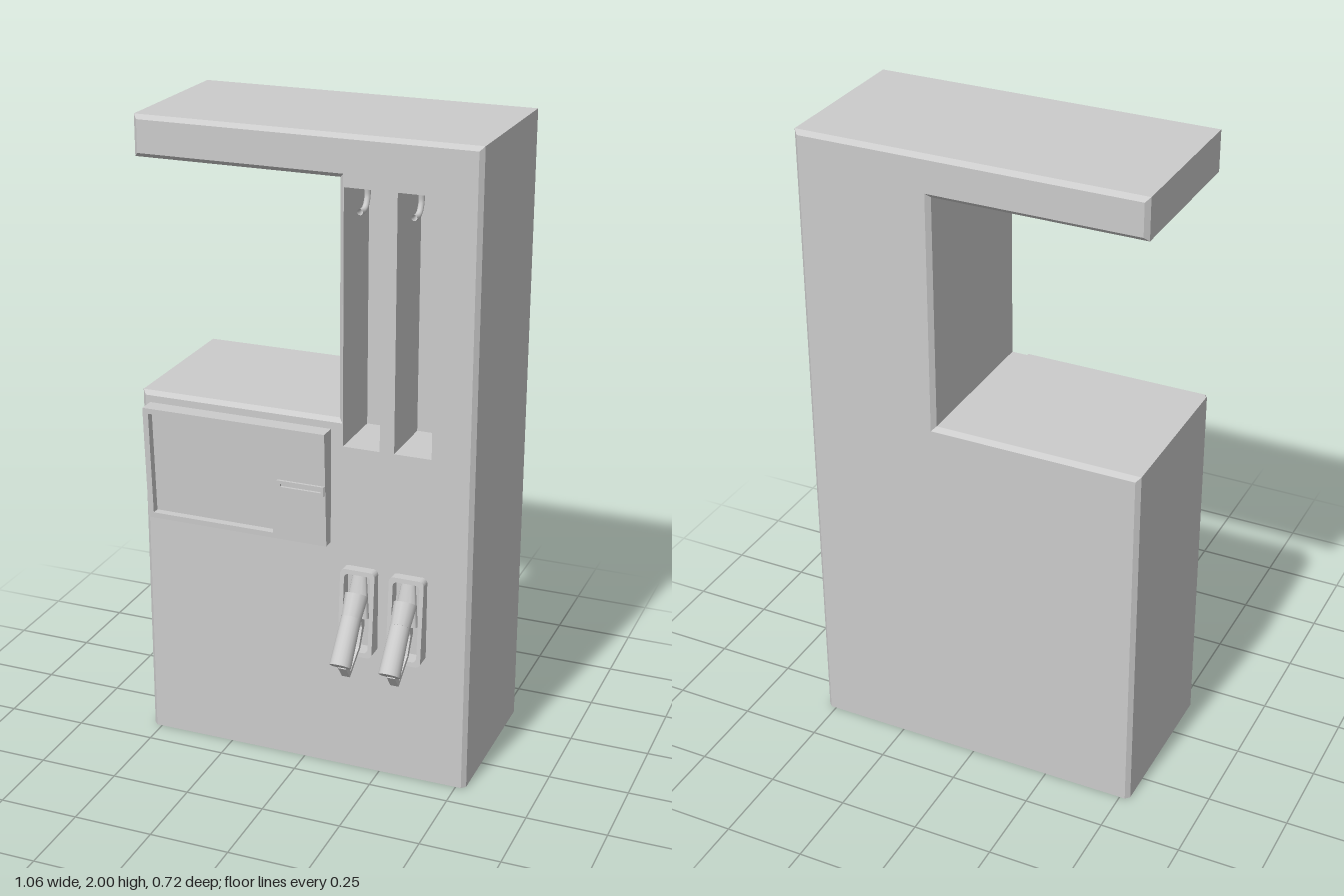
import * as THREE from 'three';

const mat = new THREE.MeshStandardMaterial({ color: 0xcccccc, side: THREE.DoubleSide });
const FRONT = 0.165, BACK = -0.36, BEVEL = 0.013;

function add(parent, name, geometry) {
  const mesh = new THREE.Mesh(geometry, mat);
  mesh.name = name;
  parent.add(mesh);
  return mesh;
}

const poly = (pts) => pts.map(([x, y]) => new THREE.Vector2(x, y));
const rect = (x0, y0, x1, y1) => poly([[x0, y0], [x1, y0], [x1, y1], [x0, y1]]);

function roundedRect(x0, y0, x1, y1, r) {
  const s = new THREE.Shape();
  s.absarc(x1 - r, y1 - r, r, 0, Math.PI / 2);
  s.absarc(x0 + r, y1 - r, r, Math.PI / 2, Math.PI);
  s.absarc(x0 + r, y0 + r, r, Math.PI, Math.PI * 1.5);
  s.absarc(x1 - r, y0 + r, r, Math.PI * 1.5, Math.PI * 2);
  return s.getPoints(4).slice(0, -1);
}

// Flat ring (outline with holes) extruded between two depth rules z(y)
function slab(outer, holes, zBack, zFront) {
  const shape = new THREE.Shape(outer);
  holes.forEach((h) => shape.holes.push(new THREE.Path(h)));
  const g = new THREE.ExtrudeGeometry(shape, { depth: 1, bevelEnabled: false });
  const p = g.attributes.position;
  for (let i = 0; i < p.count; i++) p.setZ(i, (p.getZ(i) > 0.5 ? zFront : zBack)(p.getY(i)));
  g.computeVertexNormals();
  return g;
}

// C-shaped cabinet outline, inset by b
const outline = (b) => poly([
  [-0.53 + b, b], [0.53 - b, b], [0.53 - b, 2 - b], [-0.53 + b, 2 - b],
  [-0.53 + b, 1.875 + b], [0.11 + b, 1.875 + b], [0.11 + b, 1.155 - b], [-0.53 + b, 1.155 - b],
]);

// Bevelled cabinet shell, open underneath and at the front
function shellGeometry() {
  const g = new THREE.ExtrudeGeometry(new THREE.Shape(outline(BEVEL)), {
    depth: FRONT - BACK - 2 * BEVEL, bevelSize: BEVEL, bevelThickness: BEVEL, bevelSegments: 1,
  });
  g.translate(0, 0, BACK + BEVEL);
  const p = g.attributes.position, kept = [];
  for (let i = 0; i < p.count; i += 3) {
    const tri = [0, 1, 2].map((k) => {
      const v = new THREE.Vector3().fromBufferAttribute(p, i + k);
      if (v.y < BEVEL + 0.001) v.y = 0;
      return v;
    });
    if (tri.every((v) => v.y === 0) || tri.every((v) => v.z > FRONT - 0.001)) continue;
    tri.forEach((v) => kept.push(v.x, v.y, v.z));
  }
  const out = new THREE.BufferGeometry();
  out.setAttribute('position', new THREE.Float32BufferAttribute(kept, 3));
  out.computeVertexNormals();
  return out;
}

// Recess: box without its front face
function recessGeometry(x0, x1, y0, y1, depth) {
  const g = new THREE.BoxGeometry(x1 - x0, y1 - y0, depth);
  const idx = Array.from(g.index.array);
  idx.splice(24, 6);
  for (let i = 0; i < idx.length; i += 3) [idx[i], idx[i + 1]] = [idx[i + 1], idx[i]];
  g.setIndex(idx);
  g.translate((x0 + x1) / 2, (y0 + y1) / 2, FRONT - depth / 2);
  g.computeVertexNormals();
  return g;
}

function createNozzle(x) {
  const nozzle = new THREE.Group();
  nozzle.name = 'nozzle';
  nozzle.position.set(x, 0.437, 0.333);
  nozzle.rotation.x = -0.6435;

  // round grip and wider head
  add(nozzle, 'grip', new THREE.CylinderGeometry(0.03, 0.033, 0.16, 20).translate(0, 0.08, 0));
  add(nozzle, 'head', new THREE.CylinderGeometry(0.036, 0.031, 0.07, 12).translate(0, 0.185, 0));

  // trigger guard loop under the grip
  const guard = new THREE.Shape(poly([[-0.02, -0.003], [-0.072, -0.017], [-0.105, 0.08], [-0.09, 0.2], [-0.01, 0.2]]));
  guard.holes.push(new THREE.Path(poly([[-0.03, 0.02], [-0.065, 0.0], [-0.092, 0.08], [-0.078, 0.14], [-0.03, 0.17]])));
  add(nozzle, 'triggerGuard', new THREE.ExtrudeGeometry(guard, { depth: 0.026, bevelEnabled: false })
    .translate(0, 0, -0.013).rotateY(-Math.PI / 2));
  add(nozzle, 'trigger', new THREE.BoxGeometry(0.014, 0.12, 0.01).rotateX(0.2).translate(0, 0.09, -0.052));
  return nozzle;
}

export function createModel() {
  const model = new THREE.Group();
  model.name = 'fuelPump';
  const slots = [[0.125, 0.24], [0.285, 0.4]];

  // cabinet
  const cabinet = new THREE.Group();
  cabinet.name = 'cabinet';
  model.add(cabinet);
  add(cabinet, 'shell', shellGeometry());
  const face = new THREE.Shape(outline(BEVEL).map((v) => (v.y < 0.1 ? v.setY(0) : v)));
  slots.forEach(([a, b]) => face.holes.push(new THREE.Path(rect(a, 1.07, b, 1.85))));
  add(cabinet, 'frontFace', new THREE.ShapeGeometry(face).translate(0, 0, FRONT));

  // hose recesses, hose hooks, holders and nozzles
  slots.forEach(([a, b], i) => {
    const x = (a + b) / 2;
    add(model, 'hoseRecess', recessGeometry(a, b, 1.07, 1.85, 0.2));
    const hook = new THREE.CatmullRomCurve3([[1.85, 0.13], [1.82, 0.13], [1.795, 0.145], [1.788, 0.165], [1.79, 0.188]]
      .map(([y, z]) => new THREE.Vector3(x, y, z)));
    add(model, 'hoseHook', new THREE.TubeGeometry(hook, 16, 0.009, 10));

    const hx = [0.185, 0.34][i];
    const lip = (y) => 0.196 + (0.69 - y) * 0.076;
    add(model, 'nozzleHolder', slab(
      roundedRect(hx - 0.055, 0.415, hx + 0.055, 0.69, 0.016),
      [roundedRect(hx - 0.042, 0.43, hx + 0.042, 0.676, 0.014)], () => FRONT, lip));
    // tapered throat that joins the nozzle to its holder
    add(model, 'nozzleThroat', new THREE.CylinderGeometry(0.022, 0.04, 0.13, 12)
      .scale(1, 1, 0.6).rotateX(-0.2).translate(hx, 0.605, 0.187));
    model.add(createNozzle(hx));
  });

  // leaning display panel with sunken screen and card reader
  const lean = (offset) => (y) => 0.2 + ((y - 0.755) / 0.365) * 0.018 + offset;
  const display = new THREE.Group();
  display.name = 'displayPanel';
  model.add(display);
  add(display, 'panel', slab(rect(-0.503, 0.755, 0.087, 1.12), [rect(-0.485, 0.772, -0.085, 1.103)], () => FRONT, lean(0)));
  add(display, 'screen', slab(rect(-0.485, 0.772, -0.085, 1.103), [], () => FRONT, lean(-0.025)));
  add(display, 'cardReader', slab(rect(-0.065, 0.923, 0.085, 0.953), [rect(-0.055, 0.933, 0.075, 0.943)], lean(-0.003), lean(0.008)));
  return model;
}
